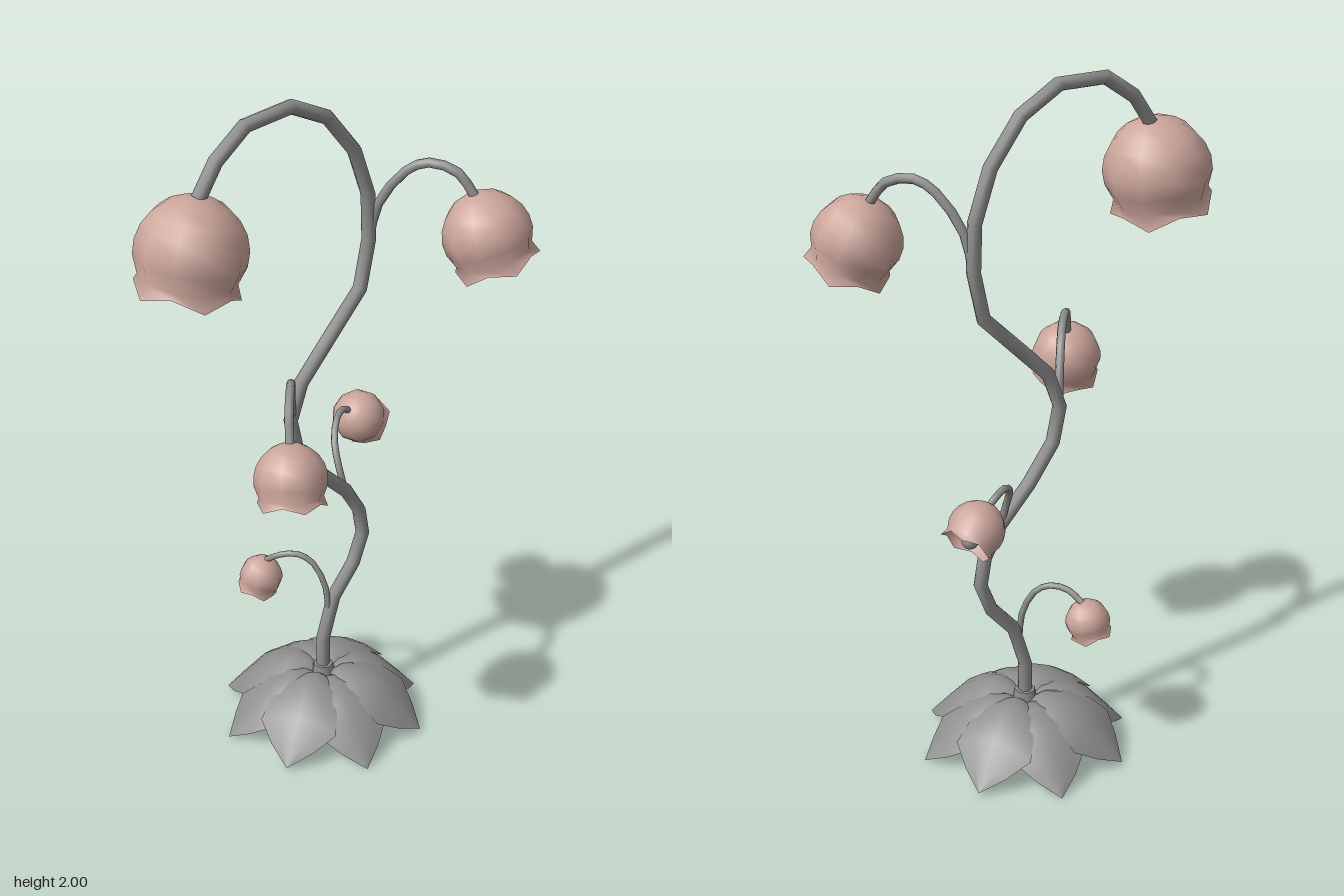
import * as THREE from 'three';
import { mergeVertices } from 'three/addons/utils/BufferGeometryUtils.js';

const grey = new THREE.MeshStandardMaterial({ color: 0x909090, side: THREE.DoubleSide });
grey.name = 'stem grey';
const pink = new THREE.MeshStandardMaterial({ color: 0xcba59b, side: THREE.DoubleSide });
pink.name = 'blossom pink';

const vec = (p) => new THREE.Vector3(...p);

function mesh(name, geometry, material) {
  const m = new THREE.Mesh(geometry, material);
  m.name = name;
  return m;
}

// Tube whose rings fall on the path points, with `steps` segments between points
function tube(name, points, radius, steps) {
  const curve = new THREE.CatmullRomCurve3(points);
  curve.getPointAt = curve.getPoint;
  curve.getTangentAt = curve.getTangent;
  return mesh(name, new THREE.TubeGeometry(curve, (points.length - 1) * steps, radius, 8), grey);
}

// Unit bell: open dome whose last row flares into five pointed lobes
function bellGeometry() {
  const sides = 10, rows = 8;
  const g = new THREE.SphereGeometry(1, sides, rows, 0, Math.PI * 2, 0, 2.3);
  const pos = g.attributes.position;
  for (let row = rows - 1; row <= rows; row++) {
    for (let i = 0; i <= sides; i++) {
      const a = (i / sides) * Math.PI * 2;
      const tip = i % 2 === 0;
      const rim = row === rows;
      const r = rim ? (tip ? 0.97 : 0.92) : 0.87;
      const y = rim ? (tip ? -0.76 : -0.59) : -0.48;
      pos.setXYZ(row * (sides + 1) + i, -Math.cos(a) * r, y, Math.sin(a) * r);
    }
  }
  g.deleteAttribute('uv');
  g.deleteAttribute('normal');
  const merged = mergeVertices(g, 1e-4);
  merged.computeVertexNormals();
  return merged;
}

// Leaf from cross-sections [distance, half width, height], drooping to a point
function leafGeometry(widthScale) {
  const sections = [
    [0.015, 0.01, 0.145], [0.05, 0.03, 0.172], [0.1, 0.065, 0.177],
    [0.16, 0.099, 0.158], [0.21, 0.113, 0.122], [0.26, 0.063, 0.065], [0.307, 0, 0.008],
  ];
  const cols = [-1, -0.5, 0, 0.5, 1];
  const verts = [], index = [];
  sections.forEach(([d, w, y], s) => {
    cols.forEach((c, k) => {
      verts.push(d, y - c * c * w * 0.32, c * w * widthScale);
      if (s > 0 && k > 0) {
        const b = s * cols.length + k, a = b - cols.length;
        index.push(a - 1, b - 1, a, a, b - 1, b);
      }
    });
  });
  const g = new THREE.BufferGeometry();
  g.setAttribute('position', new THREE.Float32BufferAttribute(verts, 3));
  // Columns run along +z and rows along +x, so reverse the corners to face up
  g.setIndex(index.reverse());
  g.computeVertexNormals();
  return g;
}

export function createModel() {
  const model = new THREE.Group();
  model.name = 'bellFlower';
  const Z = -0.048;

  // Blossoms: centre, opening direction, radius, branch radius and path
  const blossoms = [
    { c: [-0.379, 1.677, Z], axis: [-0.2, -1, 0], r: 0.149, name: 'mainStem', tube: 0.02, steps: 1,
      path: [[0.06, 0.08], [0.06, 0.16], [0.06, 0.27], [0.1, 0.4], [0.175, 0.49], [0.21, 0.58],
        [0.195, 0.665], [0.145, 0.75], [0.045, 0.85], [-0.035, 0.955], [-0.058, 1.06],
        [-0.02, 1.165], [0.07, 1.26], [0.19, 1.385], [0.22, 1.525], [0.215, 1.66],
        [0.165, 1.8], [0.07, 1.92], [-0.05, 1.981], [-0.2, 1.97], [-0.295, 1.9]].map(([x, y]) => [x, y, Z]) },
    { c: [0.41, 1.574, 0.213], axis: [0.22, -1, 0.28], r: 0.123, name: 'branch', tube: 0.0135, steps: 2,
      path: [[0.22, 1.52, Z], [0.235, 1.63, -0.03], [0.28, 1.735, 0.03], [0.315, 1.765, 0.08], [0.36, 1.745, 0.145]] },
    { c: [-0.257, 1.066, 0.192], axis: [-0.2, -1, 0.28], r: 0.099, name: 'branch', tube: 0.012, steps: 2,
      path: [[-0.055, 1.04, Z], [-0.08, 1.17, -0.018], [-0.12, 1.235, 0.03], [-0.16, 1.252, 0.075], [-0.21, 1.235, 0.13]] },
    { c: [0.32, 0.865, -0.194], axis: [0.75, -0.65, -0.22], r: 0.078, name: 'branch', tube: 0.01, steps: 2,
      path: [[0.145, 0.74, Z], [0.134, 0.82, -0.065], [0.15, 0.885, -0.105], [0.195, 0.927, -0.147], [0.24, 0.928, -0.172]] },
    { c: [-0.043, 0.454, -0.208], axis: [-0.22, -1, -0.2], r: 0.063, name: 'branch', tube: 0.009, steps: 2,
      path: [[0.08, 0.35, Z], [0.074, 0.44, -0.053], [0.052, 0.52, -0.083], [0.022, 0.548, -0.118], [-0.012, 0.54, -0.158]] },
  ];

  const bell = bellGeometry();
  const down = new THREE.Vector3(0, -1, 0);
  for (const b of blossoms) {
    const axis = vec(b.axis).normalize();
    const centre = vec(b.c);
    // Stem ends just inside the crown of its bell
    const end = centre.clone().addScaledVector(axis, -b.r * 0.95);
    model.add(tube(b.name, [...b.path.map(vec), end], b.tube, b.steps));

    const blossom = new THREE.Group();
    blossom.name = 'blossom';
    blossom.add(mesh('bell', bell, pink));
    const ball = mesh('stamenBall', new THREE.SphereGeometry(0.3, 10, 8), grey);
    ball.position.y = -0.45;
    blossom.add(ball);
    blossom.position.copy(centre);
    blossom.quaternion.setFromUnitVectors(down, axis);
    blossom.scale.setScalar(b.r);
    model.add(blossom);
  }

  // Rosette: four wide upper leaves over four narrower lower leaves
  const rosette = new THREE.Group();
  rosette.name = 'leafRosette';
  const upper = leafGeometry(1.03), lower = leafGeometry(0.92);
  for (let i = 0; i < 8; i++) {
    const top = i % 2 === 0;
    const leaf = mesh(top ? 'upperLeaf' : 'lowerLeaf', top ? upper : lower, grey);
    leaf.rotation.y = THREE.MathUtils.degToRad(29.5 + i * 45);
    leaf.position.y = top ? 0.005 : -0.006;
    rosette.add(leaf);
  }
  const collar = mesh('collar', new THREE.CylinderGeometry(0.03, 0.036, 0.04, 7), grey);
  collar.position.y = 0.16;
  rosette.add(collar);
  rosette.position.set(0.06, 0, Z);
  model.add(rosette);
  return model;
}
